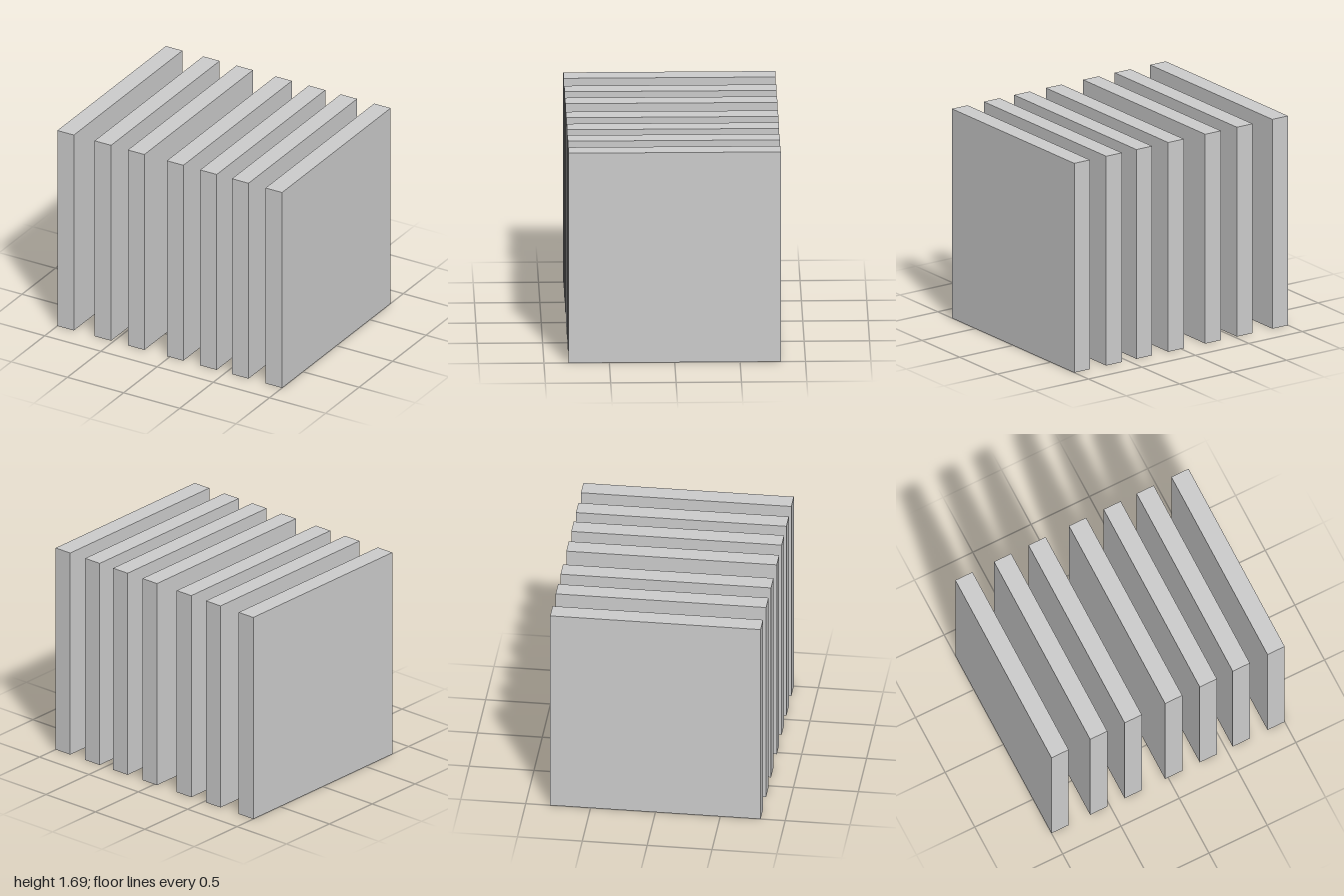
import * as THREE from 'three';

const THICKNESS = 0.147, HEIGHT = 1.686, DEPTH = 1.622;
// Centres of the unevenly spaced upright slabs
const CENTRES = [-0.9265, -0.595, -0.299, 0.048, 0.345, 0.628, 0.9265];

export function createModel() {
  const group = new THREE.Group();
  group.name = 'slabRow';
  const material = new THREE.MeshStandardMaterial({ color: 0xcccccc });
  const geometry = new THREE.BoxGeometry(THICKNESS, HEIGHT, DEPTH);

  // Parallel slabs standing on the ground
  CENTRES.forEach((x, i) => {
    const slab = new THREE.Mesh(geometry, material);
    slab.name = `slab${i + 1}`;
    slab.position.set(x, HEIGHT / 2, 0);
    group.add(slab);
  });
  return group;
}
